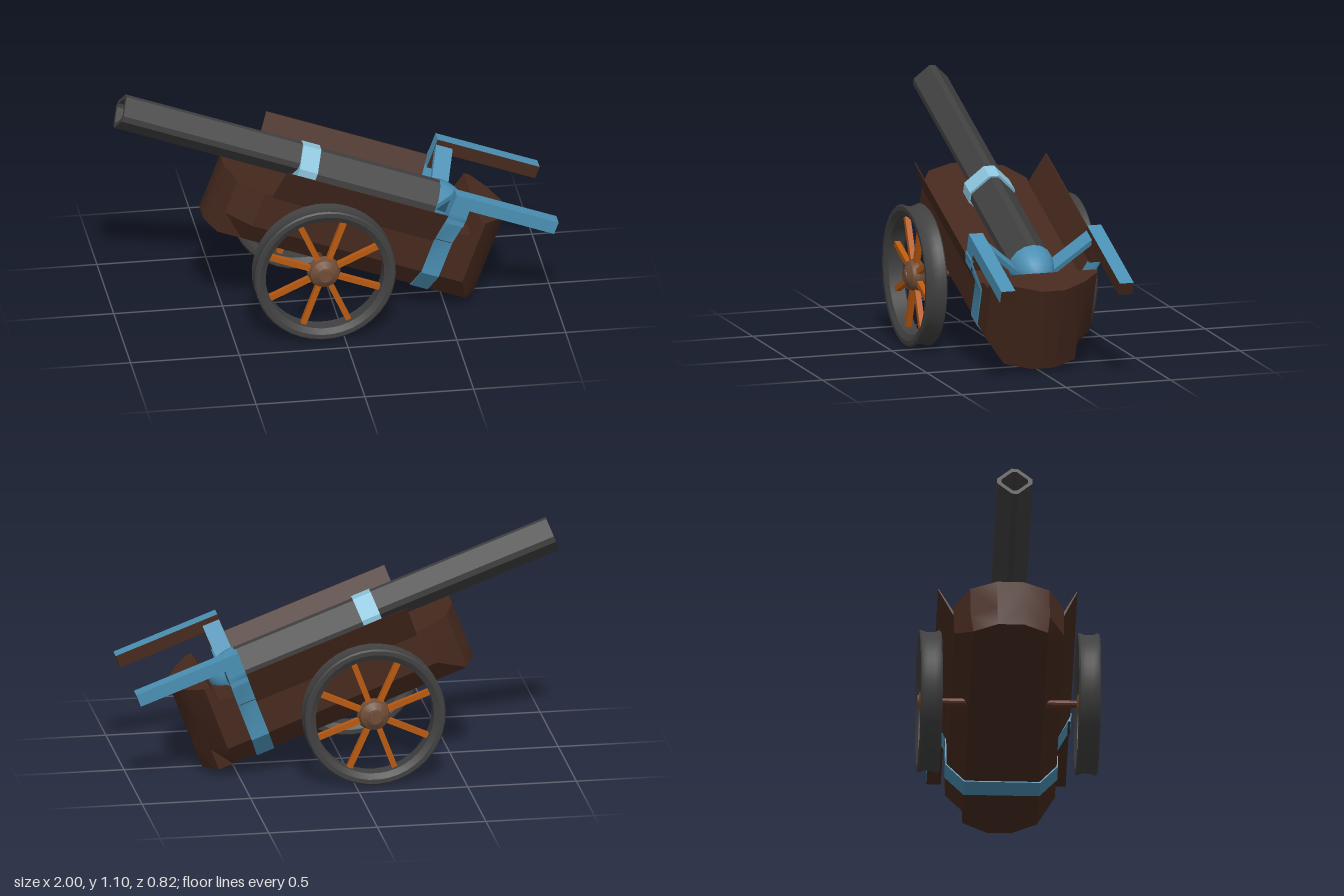
import * as THREE from 'three';
import { toCreasedNormals } from 'three/addons/utils/BufferGeometryUtils.js';

const paint = (name, color) => {
  const m = new THREE.MeshStandardMaterial({ color });
  m.name = name;
  return m;
};

export function createModel() {
  const wood = paint('dark wood', 0x46291e);
  const iron = paint('dark iron', 0x404040);
  const blue = paint('blue metal', 0x4a8fb3);
  const paleBlue = paint('pale blue metal', 0x8cc4dc);
  const orange = paint('orange wood', 0xb8590f);
  const hubWood = paint('light wood', 0x6e4c36);
  const axleWood = paint('red wood', 0x5a3223);

  const model = new THREE.Group();
  model.name = 'fieldCannon';
  // Everything is laid out level about the axle, then tipped back
  const cannon = new THREE.Group();
  cannon.name = 'tippedCannon';
  cannon.position.set(-0.09, 0.33, -0.008);
  cannon.rotation.z = THREE.MathUtils.degToRad(-20.5);
  model.add(cannon);

  const add = (name, geo, mat, parent = cannon) => {
    const mesh = new THREE.Mesh(toCreasedNormals(geo, 0.5), mat);
    mesh.name = name;
    parent.add(mesh);
    return mesh;
  };
  // Extrude a (z, y) section along x from u0 to u1
  const section = (pts, u0, u1, hole) => {
    const shape = new THREE.Shape(pts.map(([z, y]) => new THREE.Vector2(-z, y)));
    if (hole) shape.holes.push(new THREE.Path(hole.map(([z, y]) => new THREE.Vector2(-z, y))));
    return new THREE.ExtrudeGeometry(shape, { depth: u1 - u0, bevelEnabled: false })
      .rotateY(Math.PI / 2).translate(u0, 0, 0);
  };
  const mirror = (pts, s) => pts.map(([z, y]) => [z * s, y]);

  // Hull: stations of [x, half width, top height], with chamfered lower corners
  const stations = [
    [-0.53, 0.06, 0.245], [-0.48, 0.18, 0.245], [-0.36, 0.25, 0.25], [0.5, 0.25, 0.25],
    [0.56, 0.25, 0.3], [0.625, 0.25, 0.31], [0.645, 0.25, 0.385], [0.67, 0.25, 0.385],
    [0.74, 0.17, 0.385], [0.8, 0.055, 0.385],
  ];
  const rings = stations.map(([u, w, top]) => {
    const b = Math.min(w, 0.17);
    return [[-b, -0.03], [-w, 0.075], [-w, top], [w, top], [w, 0.075], [b, -0.03]]
      .map(([z, y]) => [u, y, z]);
  });
  const pos = [];
  const n = 6;
  for (let i = 0; i < rings.length - 1; i++) {
    for (let j = 0; j < n; j++) {
      const a = rings[i][j], b = rings[i][(j + 1) % n];
      const c = rings[i + 1][(j + 1) % n], d = rings[i + 1][j];
      pos.push(...a, ...b, ...c, ...a, ...c, ...d);
    }
  }
  const first = rings[0], last = rings[rings.length - 1];
  for (let j = 1; j < n - 1; j++) {
    pos.push(...last[0], ...last[j], ...last[j + 1]);
    pos.push(...first[0], ...first[j + 1], ...first[j]);
  }
  const hull = new THREE.BufferGeometry();
  hull.setAttribute('position', new THREE.Float32BufferAttribute(pos, 3));
  add('hull', hull, wood);

  // Barrel: diamond section with clipped corners, hollow at the muzzle
  const diamond = (r, c, y) => [[c, r], [r, c], [r, -c], [c, -r], [-c, -r], [-r, -c], [-r, c], [-c, r]]
    .map(([z, h]) => [z, h + y]);
  add('barrelFront', section(diamond(0.081, 0.014, 0.348), -1.07, -0.15, diamond(0.06, 0.01, 0.348)), iron);
  add('barrelRear', section(diamond(0.1, 0.018, 0.322), -0.17, 0.475), iron);
  add('barrelBand', section(diamond(0.108, 0.025, 0.322), -0.204, -0.116), paleBlue);

  // Rounded breech cap
  const cap = new THREE.SphereGeometry(0.104, 16, 8, 0, Math.PI * 2, 0, Math.PI / 2)
    .rotateZ(-Math.PI / 2).scale(1.5, 1, 1).translate(0.47, 0.322, 0);
  add('breechCap', cap, blue);

  // Strap wrapping the hull from side to side
  const outer = [[0.322, 0.42], [0.322, 0.4], [0.256, 0.25], [0.256, 0.072], [0.173, -0.036]];
  const inner = [[0.31, 0.42], [0.31, 0.4], [0.245, 0.25], [0.245, 0.08], [0.165, -0.025]];
  const band = (half) => [...half, ...mirror(half, -1).reverse()];
  add('hullStrap', section([...band(outer), ...band(inner).reverse()], 0.47, 0.555), blue);

  for (const s of [1, -1]) {
    const side = s > 0 ? 'left' : 'right';
    // Flared side board
    add(side + 'SideBoard', section(mirror([[0.25, 0.235], [0.317, 0.4], [0.312, 0.4], [0.238, 0.235]], s), -0.32, 0.55), wood);

    // Handle: blue on top and outside, bare wood below, inside and at the end
    const skin = [wood, blue, blue, wood, s > 0 ? blue : wood, s > 0 ? wood : blue];
    const bar = new THREE.Mesh(new THREE.BoxGeometry(0.5, 0.06, 0.067), skin);
    bar.name = side + 'Handle';
    bar.position.set(0.72, 0.481, s * 0.2835);
    const post = new THREE.Mesh(new THREE.BoxGeometry(0.085, 0.09, 0.067), skin);
    post.name = side + 'HandlePost';
    post.position.set(0.5125, 0.41, s * 0.2835);
    cannon.add(bar, post);

    // Brace from the handle post down to the breech
    add(side + 'Brace', section(mirror([[0.255, 0.49], [0.08, 0.335], [0.08, 0.305], [0.255, 0.46]], s), 0.472, 0.553), blue);

    // Wheel
    const wheel = new THREE.Group();
    wheel.name = side + 'Wheel';
    wheel.position.z = s * 0.36 + 0.008;
    wheel.rotation.x = s * Math.PI / 2;
    cannon.add(wheel);
    const lathe = (pts, seg) => new THREE.LatheGeometry(pts.map(([r, y]) => new THREE.Vector2(r, y)), seg);
    add('rim', lathe([[0.272, -0.035], [0.298, -0.05], [0.318, -0.05], [0.325, -0.043], [0.315, -0.018],
      [0.315, 0.018], [0.325, 0.043], [0.318, 0.05], [0.298, 0.05], [0.272, 0.035], [0.272, -0.035]], 40), iron, wheel);
    add('hub', lathe([[0, -0.05], [0.035, -0.046], [0.065, -0.028], [0.077, 0], [0.065, 0.028], [0.035, 0.046],
      [0.03, 0.046], [0.028, 0.052], [0, 0.052]], 20), hubWood, wheel);
    for (let i = 0; i < 8; i++) {
      const a = i * Math.PI / 4;
      const spoke = add('spoke', new THREE.BoxGeometry(0.23, 0.026, 0.026), orange, wheel);
      spoke.position.set(Math.cos(a) * 0.165, 0, Math.sin(a) * 0.165);
      spoke.rotation.y = -a;
    }
  }

  // Axle between the wheels
  add('axle', new THREE.CylinderGeometry(0.018, 0.018, 0.7, 12).rotateX(Math.PI / 2), axleWood);

  return model;
}
